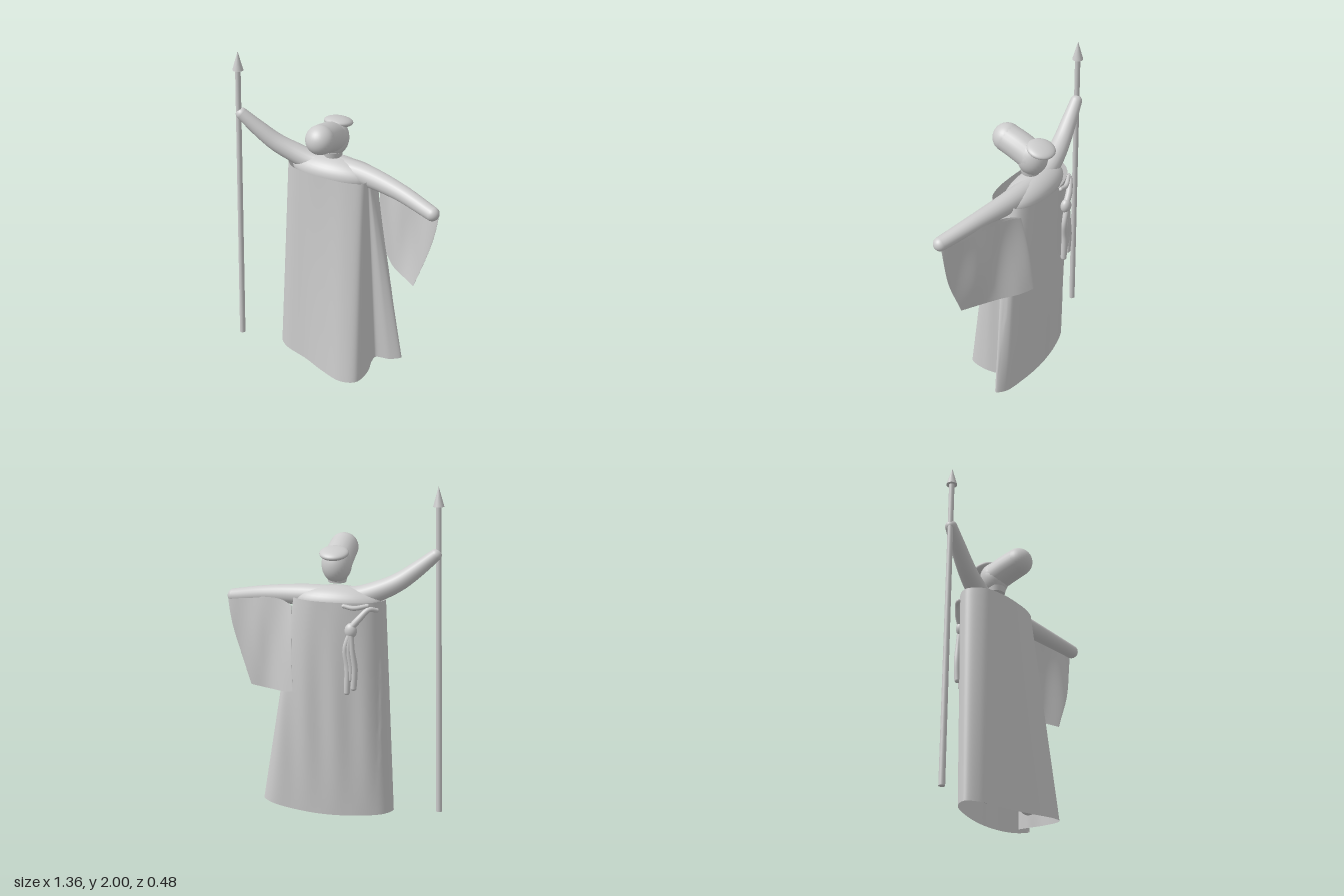
import * as THREE from 'three';

const grey = new THREE.MeshStandardMaterial({ color: 0xcccccc });
grey.name = 'stone grey';
const clothGrey = grey.clone();
clothGrey.name = 'cloth grey';
clothGrey.side = THREE.DoubleSide;

const v = (p) => new THREE.Vector3(p[0], p[1], p[2]);

function add(parent, name, geometry, material = grey) {
  const mesh = new THREE.Mesh(geometry, material);
  mesh.name = name;
  parent.add(mesh);
  return mesh;
}

function ball(parent, name, pos, size, tilt = 0) {
  const mesh = add(parent, name, new THREE.SphereGeometry(1, 32, 20));
  mesh.position.set(...pos);
  mesh.scale.set(...size);
  mesh.rotation.x = tilt;
}

// Rounded limb through points [x, y, z, radius]
function limb(parent, name, pts, segments = 48) {
  const group = new THREE.Group();
  group.name = name;
  const curve = new THREE.CatmullRomCurve3(pts.map(v));
  const sides = 20;
  const geo = new THREE.TubeGeometry(curve, segments, 1, sides);
  const pos = geo.attributes.position, nor = geo.attributes.normal;
  for (let i = 0; i <= segments; i++) {
    const centre = curve.getPointAt(i / segments);
    const t = curve.getUtoTmapping(i / segments) * (pts.length - 1);
    const k = Math.min(Math.floor(t), pts.length - 2);
    const r = THREE.MathUtils.lerp(pts[k][3], pts[k + 1][3], t - k);
    for (let j = 0; j <= sides; j++) {
      const n = i * (sides + 1) + j;
      pos.setXYZ(n, centre.x + nor.getX(n) * r, centre.y + nor.getY(n) * r, centre.z + nor.getZ(n) * r);
    }
  }
  add(group, name + 'Surface', geo);
  for (const p of [pts[0], pts[pts.length - 1]]) ball(group, name + 'End', p, [p[3], p[3], p[3]]);
  parent.add(group);
}

// Hanging cloth lofted between two closed loops
function drape(parent, name, top, bottom, ripple) {
  const cols = 144, rows = 28, pos = [], index = [];
  const a = new THREE.CatmullRomCurve3(top.map(v), true);
  const b = new THREE.CatmullRomCurve3(bottom.map(v), true);
  for (let i = 0; i <= rows; i++) {
    for (let j = 0; j < cols; j++) {
      const p = a.getPoint(j / cols).lerp(b.getPoint(j / cols), i / rows);
      ripple(p, i / rows);
      pos.push(p.x, p.y, p.z);
      if (i === rows) continue;
      const m = i * cols + j, n = i * cols + (j + 1) % cols;
      index.push(m, m + cols, n, n, m + cols, n + cols);
    }
  }
  const geo = new THREE.BufferGeometry();
  geo.setAttribute('position', new THREE.Float32BufferAttribute(pos, 3));
  geo.setIndex(index);
  geo.computeVertexNormals();
  add(parent, name, geo, clothGrey);
}

export function createModel() {
  const model = new THREE.Group();
  model.name = 'robedFigure';

  // Spear, leaning slightly
  const spear = new THREE.Group();
  spear.name = 'spear';
  add(spear, 'shaft', new THREE.CylinderGeometry(0.016, 0.018, 1.9, 20)).position.y = 0.96;
  add(spear, 'spearhead', new THREE.ConeGeometry(0.032, 0.115, 24)).position.y = 1.943;
  spear.position.set(-0.664, 0, 0.052);
  spear.rotation.set(-0.008, 0, -0.026);
  model.add(spear);

  // Body beneath the robe
  limb(model, 'arms', [
    [-0.605, 1.605, 0.032, 0.036], [-0.5, 1.518, 0.012, 0.047], [-0.4, 1.445, -0.008, 0.054],
    [-0.29, 1.392, -0.03, 0.06], [-0.16, 1.35, -0.045, 0.065], [-0.04, 1.345, -0.055, 0.072],
    [0.16, 1.344, -0.04, 0.064], [0.4, 1.322, 0.015, 0.051], [0.635, 1.278, 0.09, 0.042]], 80);
  ball(model, 'shoulders', [-0.05, 1.322, -0.05], [0.26, 0.094, 0.115]);
  ball(model, 'torso', [-0.05, 1.08, -0.05], [0.2, 0.33, 0.1]);
  for (const [side, x, z] of [['right', -0.16, -0.01], ['left', 0.15, 0.06]]) {
    limb(model, side + 'Leg', [[x * 0.5 - 0.03, 0.9, -0.05, 0.075], [x * 0.85, 0.45, -0.02, 0.06], [x, 0.115, z, 0.05]], 24);
  }

  // Head with a short neck stub, long face and back crest
  add(model, 'neck', new THREE.CylinderGeometry(0.06, 0.053, 0.035, 28)).position.set(-0.042, 1.451, -0.035);
  ball(model, 'head', [-0.042, 1.54, -0.048], [0.088, 0.108, 0.092]);
  limb(model, 'longFace', [[-0.042, 1.548, -0.045, 0.088], [-0.042, 1.58, 0.04, 0.088], [-0.042, 1.606, 0.128, 0.086]], 20);
  ball(model, 'backCrest', [-0.042, 1.617, -0.108], [0.086, 0.03, 0.084], -0.24);

  // Wrapped robe: [top x, top z, bottom x, bottom z] around the body
  const robe = [
    [-0.335, -0.05, -0.392, 0.0], [-0.28, 0.045, -0.335, 0.065], [-0.15, 0.09, -0.16, 0.125],
    [-0.02, 0.1, 0.0, 0.195], [0.1, 0.095, 0.14, 0.24], [0.185, 0.07, 0.235, 0.215],
    [0.205, 0.045, 0.26, 0.1], [0.2, 0.02, 0.238, -0.015], [0.192, -0.005, 0.24, -0.065],
    [0.2, -0.015, 0.34, -0.067], [0.208, -0.045, 0.406, -0.098], [0.197, -0.12, 0.35, -0.136],
    [0.1, -0.175, 0.2, -0.15], [-0.03, -0.19, 0.0, -0.155], [-0.17, -0.18, -0.2, -0.13],
    [-0.28, -0.133, -0.345, -0.076]];
  drape(model, 'robe',
    robe.map(([x, z]) => [x, 1.345, z]),
    robe.map(([, , x, z]) => [x, x > 0 ? 0.005 + 0.28 * x * x : 0.005 + 0.05 * x * x, z]),
    (p, t) => {
      const fold = Math.sin(Math.PI * t);
      if (p.z < -0.1) p.z += 0.006 * fold * Math.sin(p.x * 34 + t);
    });

  // Wide hanging sleeve, a flattened two-layer cloth
  const sleeveTop = [[0.665, 1.26, 0.06], [0.55, 1.29, 0.02], [0.4, 1.315, -0.04], [0.28, 1.32, -0.095],
    [0.205, 1.3, -0.148], [0.28, 1.32, -0.12], [0.4, 1.315, -0.07], [0.55, 1.29, -0.01]];
  const sleeveBottom = [[0.525, 0.73, 0.053], [0.44, 0.742, 0.005], [0.35, 0.757, -0.05], [0.26, 0.78, -0.14],
    [0.18, 0.8, -0.222], [0.25, 0.78, -0.175], [0.34, 0.757, -0.085], [0.43, 0.742, -0.015]];
  drape(model, 'sleeve', sleeveTop, sleeveBottom, (p, t) => {
    const bulge = Math.sin(Math.PI * t);
    p.x += 0.02 * bulge * (p.x > 0.4 ? (p.x - 0.4) * 5 : 0);
    p.z += 0.013 * Math.sin(p.x * 24) * bulge;
  });

  // Knotted sash at the back of the right shoulder
  const sash = new THREE.Group();
  sash.name = 'sash';
  limb(sash, 'strap', [[-0.3, 1.3, -0.13, 0.013], [-0.26, 1.31, -0.165, 0.015], [-0.21, 1.26, -0.195, 0.02], [-0.16, 1.2, -0.208, 0.02]], 20);
  limb(sash, 'upperStrap', [[-0.12, 1.33, -0.195, 0.012], [-0.18, 1.32, -0.192, 0.014], [-0.25, 1.33, -0.16, 0.013]], 20);
  ball(sash, 'knot', [-0.165, 1.19, -0.205], [0.036, 0.045, 0.03]);
  for (const [x, y, r] of [[-0.145, 0.82, 0.018], [-0.185, 0.85, 0.018], [-0.165, 0.9, 0.016]]) {
    limb(sash, 'tail', [[-0.165, 1.18, -0.212, 0.018], [x + 0.01, 1.08, -0.217, 0.016], [x - 0.004, 0.97, -0.213, 0.02], [x, y, -0.212, r]], 24);
  }
  model.add(sash);

  return model;
}
